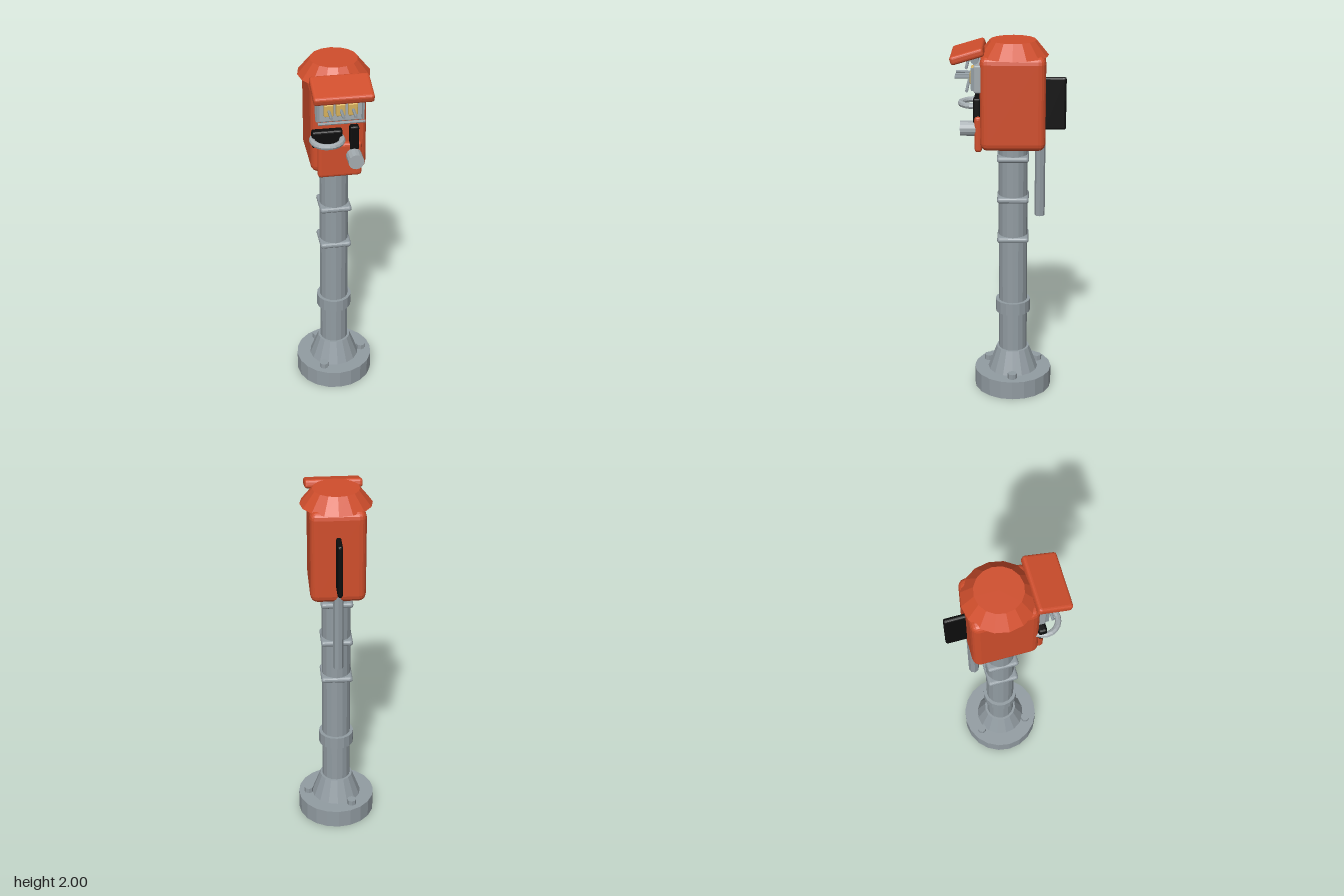
import * as THREE from 'three';
import { RoundedBoxGeometry } from 'three/addons/geometries/RoundedBoxGeometry.js';

const AXIS_Z = -0.023; // the post stands slightly behind the centre

function material(name, color) {
  const m = new THREE.MeshStandardMaterial({ color, flatShading: true });
  m.name = name;
  return m;
}

export function createModel() {
  const model = new THREE.Group();
  model.name = 'parkingMeter';
  const grey = material('steel grey', 0x929ca2);
  const silver = material('light silver', 0xa4acb0);
  const orange = material('orange red', 0xd04e2c);
  const black = material('black', 0x0d0d0d);
  const tan = material('dial yellow', 0xd8b25c);

  const add = (name, geometry, mat, x, y, z) => {
    const mesh = new THREE.Mesh(geometry, mat);
    mesh.name = name;
    mesh.position.set(x, y, z);
    model.add(mesh);
    return mesh;
  };
  // upright cylinder given by its lower and upper height
  const post = (name, rTop, rBottom, y0, y1, sides, mat, x = 0, z = AXIS_Z) =>
    add(name, new THREE.CylinderGeometry(rTop, rBottom, y1 - y0, sides), mat, x, (y0 + y1) / 2, z);
  const block = (name, w, h, d, r, mat, x, y, z) =>
    add(name, new RoundedBoxGeometry(w, h, d, 2, r), mat, x, y, z);
  const rodX = (name, r, length, mat, x, y, z, sides = 8) => {
    const rod = add(name, new THREE.CylinderGeometry(r, r, length, sides), mat, x, y, z);
    rod.rotation.z = Math.PI / 2;
  };
  const rodZ = (name, r, z0, z1, mat, x, y, sides = 8) => {
    const rod = add(name, new THREE.CylinderGeometry(r, r, z1 - z0, sides), mat, x, y, (z0 + z1) / 2);
    rod.rotation.x = Math.PI / 2;
  };

  // Foot and post
  post('basePlate', 0.217, 0.217, 0, 0.105, 20, grey);
  post('baseCone', 0.092, 0.14, 0.105, 0.235, 16, grey);
  post('post', 0.079, 0.079, 0.2, 1.46, 16, grey);
  post('postCollar', 0.097, 0.097, 0.46, 0.53, 16, grey);
  for (let i = 0; i < 3; i++) {
    const a = (i * Math.PI * 2) / 3;
    post('baseBolt', 0.026, 0.026, 0.1, 0.135, 8, grey, 0.16 * Math.cos(a), AXIS_Z + 0.16 * Math.sin(a));
  }
  for (const y of [0.905, 1.135, 1.365]) {
    block('postBand', 0.172, 0.032, 0.172, 0.015, grey, 0, y, AXIS_Z);
  }
  post('rearConduit', 0.028, 0.028, 1.03, 1.47, 8, grey, 0, -0.169);

  // Head
  block('housing', 0.29, 0.505, 0.345, 0.04, orange, 0, 1.68, AXIS_Z);
  post('roof', 0.123, 0.188, 1.92, 2, 16, orange);
  block('rearFin', 0.027, 0.287, 0.125, 0.012, black, 0, 1.658, -0.243);
  block('lowerPanel', 0.23, 0.195, 0.04, 0.018, orange, 0, 1.513, 0.16);
  const hood = block('hood', 0.304, 0.046, 0.18, 0.015, orange, 0, 1.937, 0.214);
  hood.rotation.x = 0.29;
  rodX('hoodHinge', 0.022, 0.2, grey, 0, 1.91, 0.175, 10);

  // Display with three dials behind guard rods
  block('displayPlate', 0.25, 0.145, 0.04, 0.008, silver, 0, 1.813, 0.16);
  for (const x of [-0.062, 0, 0.062]) {
    block('dial', 0.048, 0.066, 0.03, 0.006, tan, x, 1.813, 0.187);
    rodZ('dialPin', 0.008, 0.19, 0.282, grey, x, 1.813, 6);
  }
  for (const y of [1.753, 1.875]) rodX('guardRod', 0.008, 0.24, grey, 0, y, 0.217);
  for (const x of [-0.115, 0.115]) {
    add('guardSide', new THREE.BoxGeometry(0.012, 0.12, 0.02), grey, x, 1.813, 0.185);
  }

  // Slots, ring handle and knob
  block('trayOpening', 0.158, 0.094, 0.045, 0.012, black, -0.066, 1.644, 0.163);
  block('coinSlot', 0.048, 0.136, 0.04, 0.01, black, 0.074, 1.638, 0.166);
  const ring = add('ringHandle', new THREE.TorusGeometry(0.077, 0.016, 8, 20), silver, -0.068, 1.643, 0.183);
  ring.rotation.x = Math.PI / 2;
  rodZ('knob', 0.041, 0.16, 0.256, silver, 0.071, 1.54, 14);

  return model;
}
